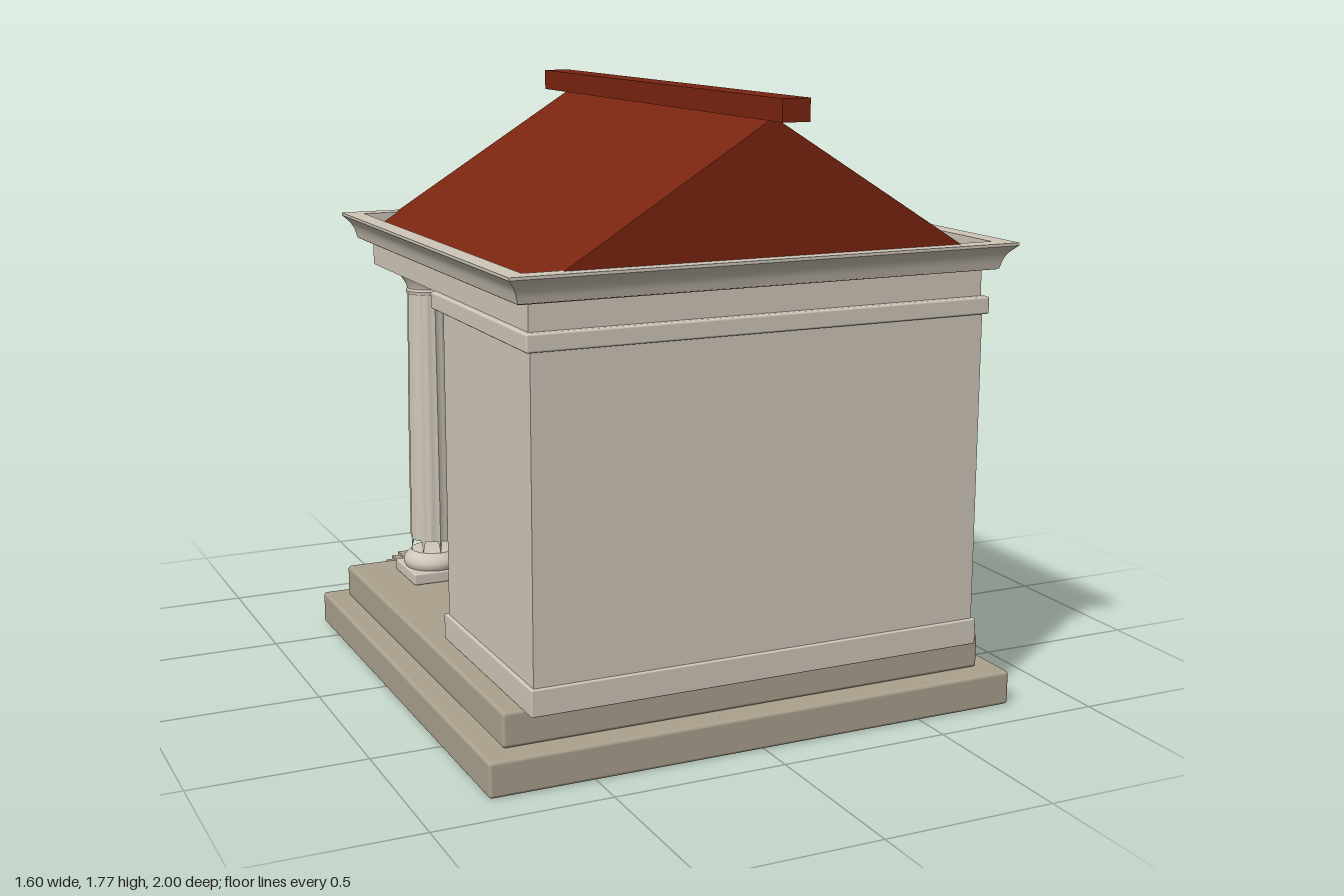
import * as THREE from 'three';
import { RoundedBoxGeometry } from 'three/addons/geometries/RoundedBoxGeometry.js';
import { toCreasedNormals } from 'three/addons/utils/BufferGeometryUtils.js';

export function createModel() {
  const root = new THREE.Group();
  const material = (name, color, side = THREE.FrontSide) =>
    Object.assign(new THREE.MeshStandardMaterial({ color, side }), { name });
  const marble = material('marble', 0xcfc7b9, THREE.DoubleSide);
  const stone = material('stone', 0xaba18e);
  const tile = material('roofTile', 0x7a2410);

  const add = (name, geometry, mat, parent = root) => {
    const mesh = new THREE.Mesh(geometry, mat);
    mesh.name = name;
    parent.add(mesh);
    return mesh;
  };
  // Box given by its limits; r rounds the edges
  const box = (name, mat, x0, x1, y0, y1, z0, z1, r = 0, parent = root) => {
    const s = [x1 - x0, y1 - y0, z1 - z0];
    const g = r ? new RoundedBoxGeometry(...s, 2, r) : new THREE.BoxGeometry(...s);
    g.translate((x0 + x1) / 2, (y0 + y1) / 2, (z0 + z1) / 2);
    return add(name, g, mat, parent);
  };

  // Stepped platform
  box('lowerPlatform', stone, -0.8, 0.8, 0, 0.1, -0.65, 0.885, 0.01);
  box('upperPlatform', stone, -0.735, 0.735, 0.1, 0.2, -0.585, 0.815, 0.01);

  // Chamber walls with skirting and head band
  box('chamber', marble, -0.67, 0.67, 0.2, 1.2, 0.22, 0.87);
  box('skirtingFront', marble, -0.68, 0.68, 0.2, 0.275, 0.8, 0.88, 0.004);
  for (const s of [-1, 1]) {
    const x = s * 0.625;
    box('skirtingSide', marble, x - 0.055, x + 0.055, 0.2, 0.275, 0.205, 0.87, 0.004);
  }
  box('headBand', marble, -0.685, 0.685, 1.155, 1.204, 0.155, 0.883, 0.006);

  // Arched surrounds standing out from the porch wall
  const archPath = (path, w, y0, y1) => {
    path.moveTo(-w, y0);
    path.lineTo(w, y0);
    path.lineTo(w, y1 - w);
    path.absarc(0, y1 - w, w, 0, Math.PI, false);
    path.lineTo(-w, y0);
    return path;
  };
  const arch = (name, x, w, y0, y1, t, sill) => {
    const shape = archPath(new THREE.Shape(), w, y0, y1);
    shape.holes.push(archPath(new THREE.Path(), w - t, y0 + sill, y1 - t));
    const g = new THREE.ExtrudeGeometry(shape, { depth: 0.06, bevelEnabled: false, curveSegments: 12 });
    add(name, g, marble).position.set(x, 0, 0.165);
  };
  arch('nicheSurround', -0.45, 0.14, 0.51, 0.95, 0.03, 0.03);
  arch('nicheSurround', 0.45, 0.14, 0.51, 0.95, 0.03, 0.03);
  arch('doorSurround', 0, 0.25, 0.2, 0.935, 0.045, 0.01);

  // Fluted shaft with a ragged foot
  const shaft = new THREE.CylinderGeometry(1, 1, 1, 64, 8, true);
  const p = shaft.attributes.position;
  for (let i = 0; i < p.count; i++) {
    const t = p.getY(i) + 0.5;
    const k = i % 65;
    const flute = 1 - 0.05 * Math.abs(Math.sin((k * Math.PI) / 4));
    const r = (0.071 - 0.008 * t * t) * flute;
    const foot = k % 8 === 0 ? 0.285 : 0.325;
    p.setXYZ(i, p.getX(i) * r, t === 0 ? foot : 0.34 + t * 0.78, p.getZ(i) * r);
  }
  shaft.computeVertexNormals();
  const lathe = (pts) => toCreasedNormals(
    new THREE.LatheGeometry(pts.map(([r, y]) => new THREE.Vector2(r, y)), 28), 0.7);
  const baseGeo = lathe([[0.088, 0.235], [0.094, 0.245], [0.094, 0.26], [0.086, 0.272],
    [0.078, 0.28], [0.07, 0.288], [0, 0.292]]);
  const capGeo = lathe([[0, 1.108], [0.066, 1.108], [0.068, 1.118], [0.064, 1.125],
    [0.068, 1.14], [0.08, 1.158], [0.088, 1.172], [0.088, 1.18]]);
  for (const x of [-0.51, -0.17, 0.17, 0.51]) {
    const column = new THREE.Group();
    column.name = 'column';
    column.position.set(x, 0, -0.385);
    root.add(column);
    box('plinth', marble, -0.095, 0.095, 0.2, 0.236, -0.095, 0.095, 0.005, column);
    add('columnBase', baseGeo, marble, column);
    add('shaft', shaft, marble, column);
    add('capital', capGeo, marble, column);
    box('abacus', marble, -0.088, 0.088, 1.175, 1.202, -0.088, 0.088, 0.004, column);
  }

  // Beam block resting on walls and columns
  box('entablature', marble, -0.67, 0.67, 1.202, 1.282, -0.42, 0.86);

  // Mitred cornice: a closed profile of [offset, y] carried round a rectangle
  const profile = [[0, 1.281], [0.018, 1.281], [0.022, 1.296], [0.026, 1.31], [0.034, 1.325],
    [0.046, 1.338], [0.055, 1.347], [0.055, 1.355], [0, 1.355]];
  const corners = [[1, 1], [1, -1], [-1, -1], [-1, 1]];
  const verts = [];
  const at = (c, [o, y]) => [c[0] * (0.69 + o), y, 0.215 + c[1] * (0.655 + o)];
  corners.forEach((c, i) => {
    const d = corners[(i + 1) % 4];
    profile.forEach((lo, j) => {
      const hi = profile[(j + 1) % profile.length];
      for (const v of [at(c, lo), at(d, lo), at(d, hi), at(c, lo), at(d, hi), at(c, hi)]) verts.push(...v);
    });
  });
  const cornice = new THREE.BufferGeometry();
  cornice.setAttribute('position', new THREE.Float32BufferAttribute(verts, 3));
  add('cornice', toCreasedNormals(cornice, 0.5), marble);

  // Gabled roof and ridge beam
  const gable = new THREE.Shape([[-0.705, 1.279], [0.705, 1.279], [0, 1.715]]
    .map(([x, y]) => new THREE.Vector2(x, y)));
  const roof = new THREE.ExtrudeGeometry(gable, { depth: 1.34, bevelEnabled: false });
  add('roof', roof.translate(0, 0, -0.455), tile);
  box('ridgeBeam', tile, -0.04, 0.04, 1.71, 1.77, -0.565, 1);

  // Open stair treads descending from the porch
  for (let i = 0; i < 6; i++) {
    const z = -0.585 - i * 0.0675;
    const y = 0.2 - i * 0.033;
    box('tread', stone, -0.54, 0.54, y - 0.009, y, z - 0.077, z);
  }
  box('bottomTread', stone, -0.54, 0.54, 0, 0.012, -1, -0.92);

  // Loose sloping slab under the lowest treads
  const slab = box('slopingSlab', stone, -0.2, 0.2, -0.004, 0.004, -0.1, 0.1);
  slab.position.set(0, 0.034, -0.86);
  slab.rotation.x = -0.25;

  return root;
}
